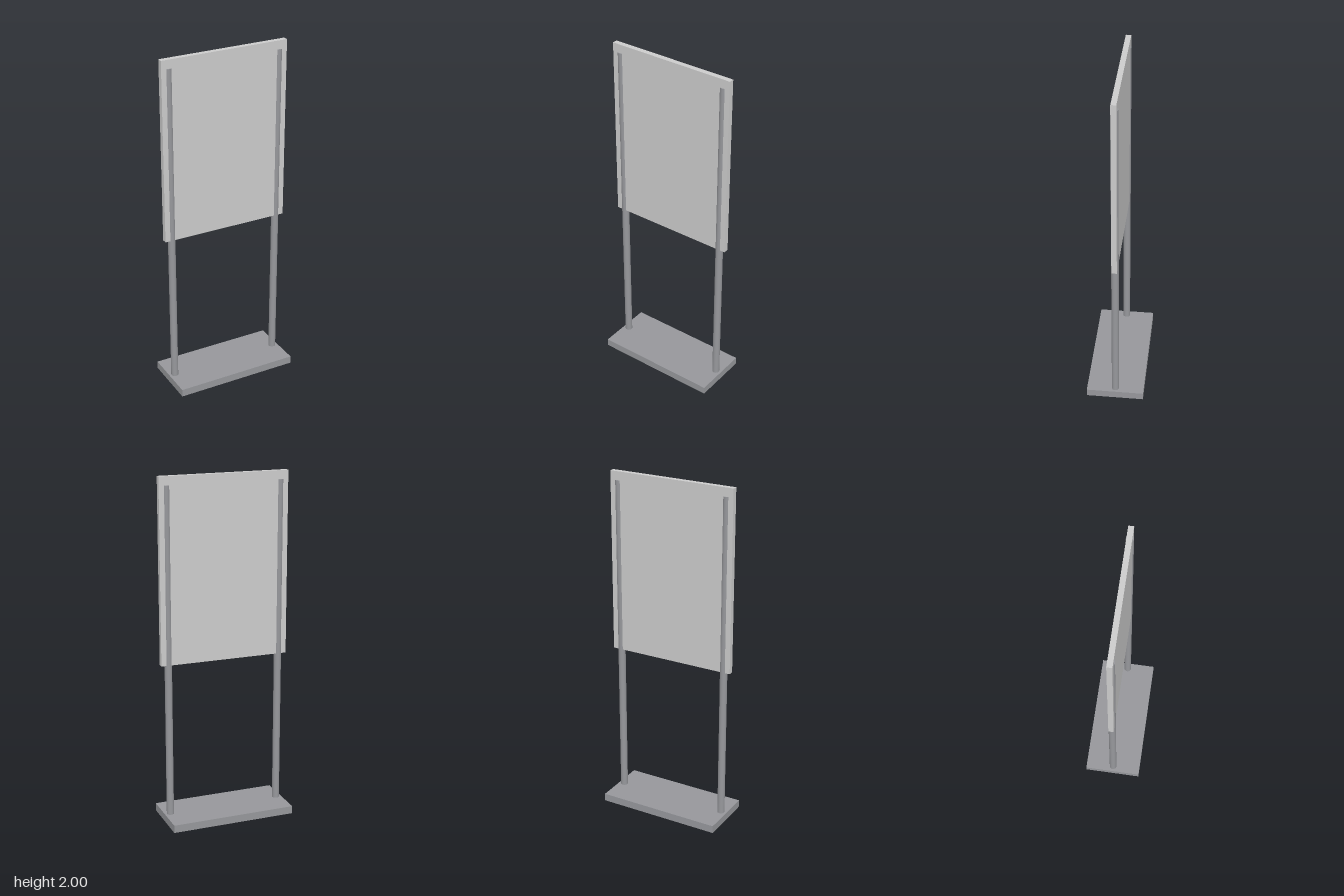
import * as THREE from 'three';

export function createModel() {
  const model = new THREE.Group();
  const panelMaterial = new THREE.MeshStandardMaterial({ color: 0xcccccc });
  const metalMaterial = new THREE.MeshStandardMaterial({ color: 0x96979b });

  function add(name, geometry, material, x, y, z) {
    const mesh = new THREE.Mesh(geometry, material);
    mesh.name = name;
    mesh.position.set(x, y, z);
    model.add(mesh);
  }

  // Flat foot plate
  const baseHeight = 0.045;
  add('base', new THREE.BoxGeometry(0.734, baseHeight, 0.334), metalMaterial, 0, baseHeight / 2, 0);

  // Round posts, slightly thicker than the panel so they show on both faces
  const postTop = 1.95;
  const postHeight = postTop - baseHeight;
  const postGeometry = new THREE.CylinderGeometry(0.021, 0.021, postHeight, 32);
  for (const [name, side] of [['leftPost', 1], ['rightPost', -1]]) {
    add(name, postGeometry, metalMaterial, side * 0.333, baseHeight + postHeight / 2, 0);
  }

  // Display panel
  const panelBottom = 0.946;
  const panelHeight = 2 - panelBottom;
  add('panel', new THREE.BoxGeometry(0.756, panelHeight, 0.03), panelMaterial, 0, panelBottom + panelHeight / 2, 0);

  return model;
}
